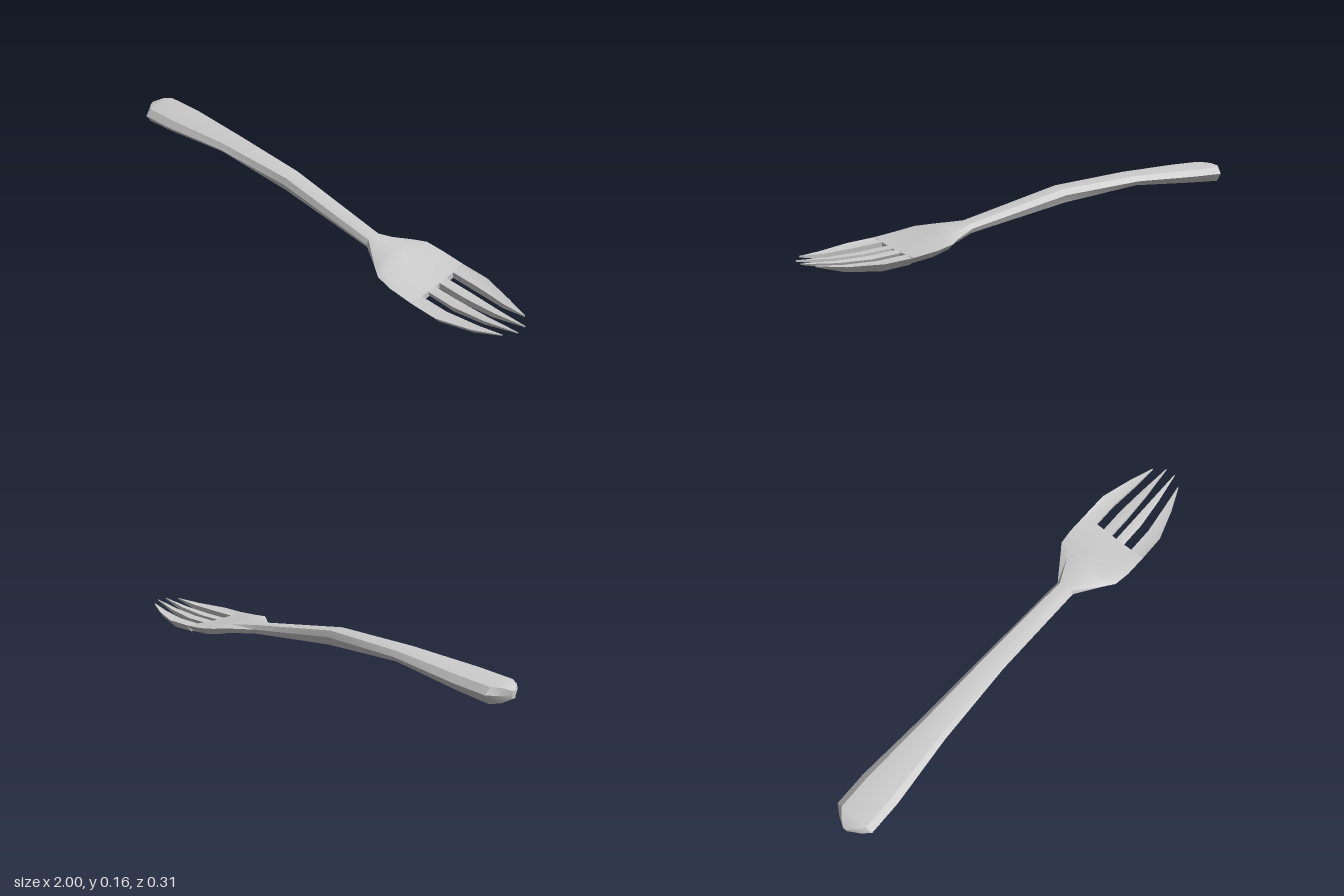
import * as THREE from 'three';
import { toCreasedNormals } from 'three/addons/utils/BufferGeometryUtils.js';

const material = new THREE.MeshStandardMaterial({ color: 0xcccccc });

// Skin a list of closed rings (running +z -> +y) along x, closing both ends
function loft(name, rings) {
  const pos = [];
  const tri = (...pts) => pts.forEach((p) => pos.push(...p));
  const n = rings[0].length;
  for (let i = 0; i < rings.length - 1; i++) {
    for (let j = 0; j < n; j++) {
      const k = (j + 1) % n;
      const [a, b, c, d] = [rings[i][j], rings[i][k], rings[i + 1][j], rings[i + 1][k]];
      tri(a, c, b);
      tri(b, c, d);
    }
  }
  const cap = (ring, start) => {
    const mid = [0, 1, 2].map((c) => ring.reduce((s, p) => s + p[c], 0) / n);
    ring.forEach((p, j) => {
      const q = ring[(j + 1) % n];
      if (start) tri(mid, p, q);
      else tri(mid, q, p);
    });
  };
  cap(rings[0], true);
  cap(rings[rings.length - 1], false);
  const geometry = new THREE.BufferGeometry();
  geometry.setAttribute('position', new THREE.Float32BufferAttribute(pos, 3));
  const mesh = new THREE.Mesh(toCreasedNormals(geometry, 0.5), material);
  mesh.name = name;
  return mesh;
}

// Faceted section: sharp side edges, softly crowned (or dished) top, flat bottom
function bodyRing([x, w, edge, top, bottom, crown]) {
  return [
    [x, edge, w], [x, top - crown, 0.7 * w], [x, top, 0], [x, top - crown, -0.7 * w],
    [x, edge, -w], [x, bottom, -0.75 * w], [x, bottom, 0], [x, bottom, 0.75 * w],
  ];
}

// Tine section between an inner and outer z, chamfered below its outer edge
function tineRing([x, inner, outer, top, edge, bottom], chamfer, side) {
  const c = chamfer * (outer - inner);
  const ring = [
    [x, bottom, side * (inner + 0.1 * c)], [x, bottom, side * (outer - c)],
    [x, edge, side * outer], [x, top, side * (outer - 0.5 * c)], [x, top, side * inner],
  ];
  return side > 0 ? ring : ring.reverse();
}

export function createModel() {
  const group = new THREE.Group();
  group.name = 'fork';

  // x, half width, edge height, top, bottom, crown
  const handle = [
    [-1, 0.01, 0.11, 0.125, 0.095, 0.002],
    [-0.975, 0.052, 0.11, 0.138, 0.08, 0.003],
    [-0.945, 0.088, 0.113, 0.141, 0.077, 0.004],
    [-0.8, 0.088, 0.122, 0.149, 0.091, 0.004],
    [-0.5, 0.063, 0.14, 0.163, 0.12, 0.004],
    [-0.14, 0.047, 0.133, 0.16, 0.1, 0.003],
    [0.3, 0.04, 0.068, 0.088, 0.048, 0.003],
  ];
  const head = [
    [0.41, 0.115, 0.065, 0.083, 0.04, 0.006],
    [0.45, 0.143, 0.06, 0.073, 0.03, 0.003],
    [0.52, 0.152, 0.05, 0.054, 0.016, 0],
    [0.62, 0.153, 0.042, 0.034, 0.008, -0.004],
  ];
  group.add(loft('handleAndHead', [...handle, ...head].map(bodyRing)));

  // Tines: x, inner z, outer z, top, outer edge height, bottom
  const outerTine = [
    [0.62, 0.092, 0.153, 0.038, 0.042, 0.009],
    [0.735, 0.092, 0.152, 0.036, 0.04, 0.006],
    [0.865, 0.077, 0.112, 0.042, 0.043, 0.02],
    [0.965, 0.066, 0.07, 0.055, 0.054, 0.05],
  ];
  const innerTine = [
    [0.62, 0.013, 0.054, 0.035, 0.034, 0.008],
    [0.735, 0.013, 0.054, 0.033, 0.032, 0.003],
    [0.865, 0.015, 0.042, 0.04, 0.039, 0.018],
    [1, 0.02, 0.024, 0.057, 0.056, 0.053],
  ];
  for (const [label, side] of [['front', 1], ['back', -1]]) {
    group.add(loft(label + 'OuterTine', outerTine.map((s) => tineRing(s, 0.45, side))));
    group.add(loft(label + 'InnerTine', innerTine.map((s) => tineRing(s, 0.25, side))));
  }

  // Rest the lowest point on the ground
  group.children.forEach((mesh) => { mesh.position.y = -0.003; });
  return group;
}
